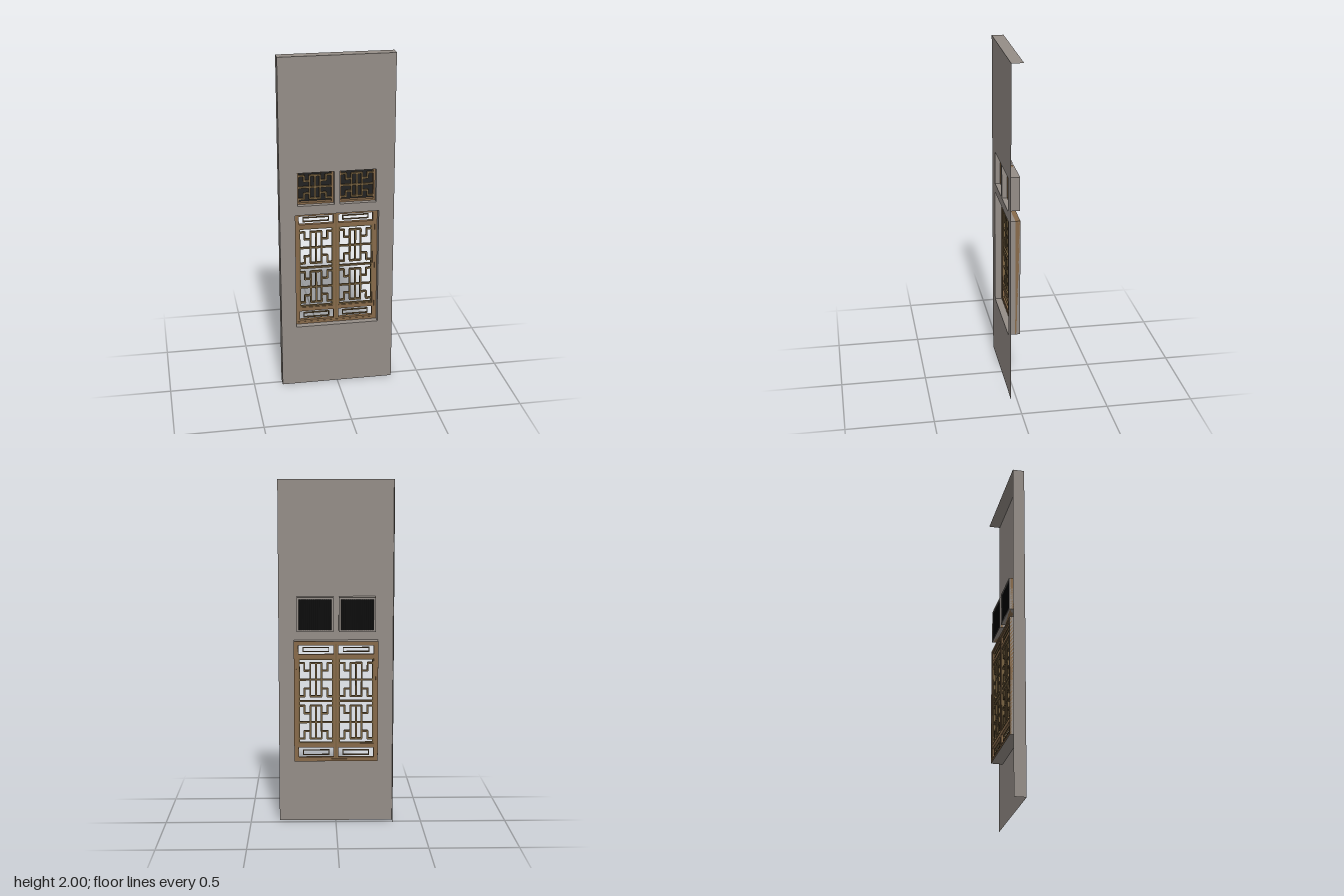
import * as THREE from 'three';

const plaster = new THREE.MeshStandardMaterial({ color: 0x948d87, side: THREE.DoubleSide });
plaster.name = 'grey plaster';
const wood = new THREE.MeshStandardMaterial({ color: 0x876a4a });
wood.name = 'brown wood';
const latticeWood = new THREE.MeshStandardMaterial({ color: 0x75603f });
latticeWood.name = 'dark lattice wood';
const black = new THREE.MeshStandardMaterial({ color: 0x222222 });
black.name = 'black shutter';

const W = 0.332, H = 2, F = 0.034, B = -0.034;
const SMALL = [[-0.228, -0.017], [0.015, 0.226]];
const SMALL_Y = [1.135, 1.333];
const MAIN = [-0.243, 0.243, 0.375, 1.08];

export function createModel() {
  const model = new THREE.Group();
  model.name = 'windowWall';

  const add = (parent, name, geometry, material, x, y, z) => {
    const mesh = new THREE.Mesh(geometry, material);
    mesh.name = name;
    mesh.position.set(x, y, z);
    parent.add(mesh);
    return mesh;
  };
  // Box given by its limits
  const bar = (parent, name, x0, x1, y0, y1, z0, z1, mat) =>
    add(parent, name, new THREE.BoxGeometry(x1 - x0, y1 - y0, z1 - z0), mat,
      (x0 + x1) / 2, (y0 + y1) / 2, (z0 + z1) / 2);
  // Rectangular ring of four bars, thickness t inward
  const ring = (parent, name, [x0, x1, y0, y1], t, z0, z1, mat) => {
    bar(parent, name, x0, x0 + t, y0, y1, z0, z1, mat);
    bar(parent, name, x1 - t, x1, y0, y1, z0, z1, mat);
    bar(parent, name, x0 + t, x1 - t, y0, y0 + t, z0, z1, mat);
    bar(parent, name, x0 + t, x1 - t, y1 - t, y1, z0, z1, mat);
  };
  // Open sheets spanning the wall depth
  const levelSheet = (name, x0, x1, y, up) => {
    add(model, name, new THREE.PlaneGeometry(x1 - x0, F - B), plaster, (x0 + x1) / 2, y, 0)
      .rotation.x = up ? -Math.PI / 2 : Math.PI / 2;
  };
  const sideSheet = (name, y0, y1, x, dir) => {
    add(model, name, new THREE.PlaneGeometry(F - B, y1 - y0), plaster, x, (y0 + y1) / 2, 0)
      .rotation.y = dir * Math.PI / 2;
  };
  const reveal = (name, [x0, x1, y0, y1]) => {
    levelSheet(name, x0, x1, y1, true);
    levelSheet(name, x0, x1, y0, false);
    sideSheet(name, y0, y1, x0, -1);
    sideSheet(name, y0, y1, x1, 1);
  };

  // Wall face with three openings, and its top and one side return
  const rect = (path, [x0, x1, y0, y1]) => {
    path.moveTo(x0, y0);
    path.lineTo(x1, y0);
    path.lineTo(x1, y1);
    path.lineTo(x0, y1);
    path.closePath();
    return path;
  };
  const openings = [MAIN, ...SMALL.map(([a, b]) => [a, b, ...SMALL_Y])];
  const face = rect(new THREE.Shape(), [-W, W, 0, H]);
  openings.forEach((o) => face.holes.push(rect(new THREE.Path(), o)));
  add(model, 'wallFace', new THREE.ShapeGeometry(face), plaster, 0, 0, F);
  levelSheet('wallTop', -W, W, H, true);
  sideSheet('wallSide', 0, H, -W, -1);
  openings.forEach((o) => reveal('windowReveal', o));

  // One stepped lattice cell filling a rectangle
  const lattice = (parent, [x0, x1, y0, y1], z0, z1) => {
    const cx = (x0 + x1) / 2, cy = (y0 + y1) / 2, w = (x1 - x0) / 2, h = (y1 - y0) / 2, t = 0.005;
    const hor = (a, b, v) =>
      bar(parent, 'latticeBar', cx + a * w, cx + b * w, cy + v * h - t, cy + v * h + t, z0, z1, latticeWood);
    const ver = (u, a, b) =>
      bar(parent, 'latticeBar', cx + u * w - t, cx + u * w + t, cy + a * h, cy + b * h, z0, z1, latticeWood);
    hor(-1, 1, 0);
    ver(0, -0.78, 0.78);
    for (const s of [-1, 1]) {
      ver(s * 0.32, -0.78, 0.78);
      hor(-0.35, 0.35, s * 0.78);
      for (const k of [-1, 1]) {
        const outer = [s * 0.68, s * 0.32].sort((a, b) => a - b);
        hor(...outer, k * 0.42);
        ver(s * 0.66, ...[k * 0.4, k * 0.8].sort((a, b) => a - b));
        hor(...[s, s * 0.64].sort((a, b) => a - b), k * 0.78);
      }
    }
  };

  // Main double window
  const main = new THREE.Group();
  main.name = 'mainWindow';
  model.add(main);
  const zf = -0.006, zb = -0.033;
  ring(main, 'outerFrame', MAIN, 0.014, zb, zf, wood);
  bar(main, 'centreMullion', -0.003, 0.003, 0.389, 1.066, zb + 0.003, zf - 0.003, latticeWood);
  for (const s of [-1, 1]) {
    const sash = new THREE.Group();
    sash.name = s > 0 ? 'leftSash' : 'rightSash';
    main.add(sash);
    const [a, b] = s > 0 ? [0.003, 0.229] : [-0.229, -0.003];
    ring(sash, 'sashFrame', [a, b, 0.387, 1.068], 0.012, zb + 0.002, zf - 0.002, wood);
    const i = a + 0.012, j = b - 0.012;
    for (const y of [0.468, 0.993]) {
      bar(sash, 'sashRail', i, j, y - 0.012, y + 0.012, zb + 0.002, zf - 0.002, wood);
    }
    // Slim inset rings in the top and bottom lights
    for (const [y0, y1] of [[0.41, 0.442], [1.018, 1.046]]) {
      ring(sash, 'insetRing', [i + 0.024, j - 0.024, y0, y1], 0.005, -0.026, -0.014, latticeWood);
    }
    ring(sash, 'latticeBorder', [i, j, 0.48, 0.981], 0.008, -0.028, -0.012, latticeWood);
    lattice(sash, [i, j, 0.48, 0.7305], -0.027, -0.013);
    lattice(sash, [i, j, 0.7305, 0.981], -0.027, -0.013);
    bar(sash, 'latticeBar', i, j, 0.7255, 0.7355, -0.0275, -0.0125, latticeWood);
  }

  // Two upper windows with ribbed shutters behind
  for (const [x0, x1] of SMALL) {
    const win = new THREE.Group();
    win.name = 'upperWindow';
    model.add(win);
    const [y0, y1] = SMALL_Y;
    ring(win, 'upperFrame', [x0, x1, y0, y1], 0.011, -0.026, 0.004, wood);
    ring(win, 'backRim', [x0, x1, y0, y1], 0.011, -0.033, -0.0265, plaster);
    lattice(win, [x0 + 0.01, x1 - 0.01, y0 + 0.01, y1 - 0.01], -0.012, 0);
    bar(win, 'shutterPanel', x0 + 0.01, x1 - 0.01, y0 + 0.01, y1 - 0.01, -0.027, -0.02, black);
    const n = 16, step = (x1 - x0 - 0.022) / n;
    for (let k = 0; k < n; k++) {
      const size = step / Math.SQRT2;
      add(win, 'shutterRib', new THREE.BoxGeometry(size, y1 - y0 - 0.022, size), black,
        x0 + 0.011 + (k + 0.5) * step, (y0 + y1) / 2, -0.026).rotation.y = Math.PI / 4;
    }
  }
  return model;
}
